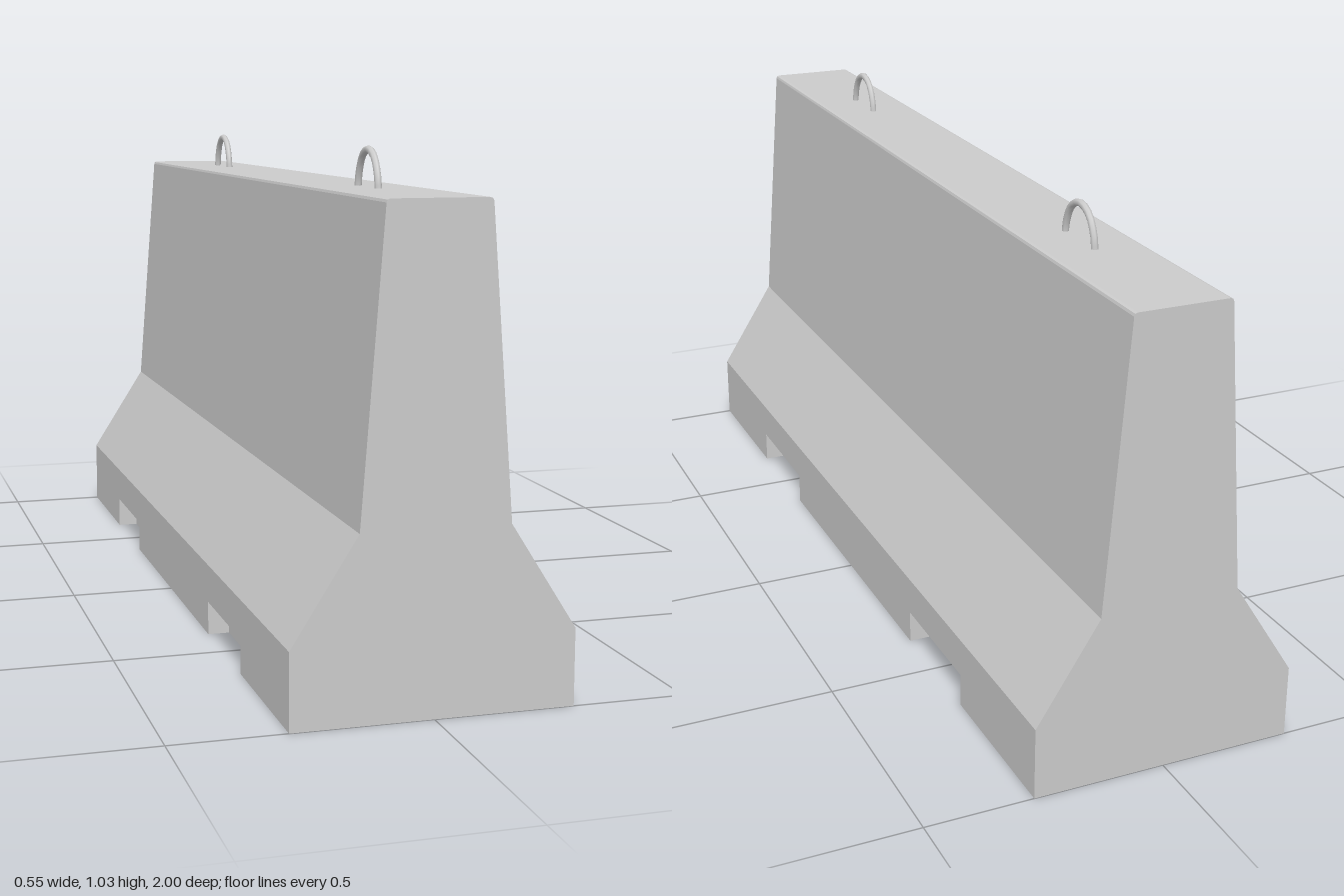
import * as THREE from 'three';
import { mergeGeometries } from 'three/addons/utils/BufferGeometryUtils.js';

const BASE = 0.275;                       // half width at the foot
const POCKET = { depth: 0.045, height: 0.07, z0: 0.375, z1: 0.65 };

const upper = [[BASE, 0.15], [0.145, 0.355], [0.1, 0.939], [0.098, 0.944], [0.093, 0.946]];
const plainFoot = [[BASE, 0]];
const pocketFoot = [[BASE - POCKET.depth, 0], [BASE - POCKET.depth, POCKET.height], [BASE, POCKET.height]];

// Closed counter-clockwise outline, mirrored from its right half
function outline(foot) {
  const half = [...foot, ...upper];
  return [...half, ...half.map(([x, y]) => [-x, y]).reverse()];
}

// Walls of an outline swept from z0 to z1, without end caps
function skin(points, z0, z1) {
  const pos = [];
  points.forEach(([ax, ay], i) => {
    const [bx, by] = points[(i + 1) % points.length];
    pos.push(ax, ay, z0, bx, by, z0, bx, by, z1, ax, ay, z0, bx, by, z1, ax, ay, z1);
  });
  const g = new THREE.BufferGeometry();
  g.setAttribute('position', new THREE.Float32BufferAttribute(pos, 3));
  g.computeVertexNormals();
  return g;
}

// Flat piece turned to face +z or -z
function facing(geometry, sign, x, y, z) {
  if (sign < 0) geometry.rotateY(Math.PI);
  const g = geometry.translate(x, y, z).toNonIndexed();
  g.deleteAttribute('uv');
  return g;
}

function bodyGeometry() {
  const { depth, height, z0, z1 } = POCKET;
  const full = outline(plainFoot);
  const cut = outline(pocketFoot);
  const parts = [
    skin(full, -1, -z1), skin(cut, -z1, -z0), skin(full, -z0, z0),
    skin(cut, z0, z1), skin(full, z1, 1),
  ];
  // End faces
  const shape = new THREE.Shape(full.map(([x, y]) => new THREE.Vector2(x, y)));
  for (const s of [1, -1]) parts.push(facing(new THREE.ShapeGeometry(shape), s, 0, 0, s));
  // End walls of the four lifting pockets
  for (const x of [1, -1]) {
    for (const [z, s] of [[-z1, 1], [-z0, -1], [z0, 1], [z1, -1]]) {
      parts.push(facing(new THREE.PlaneGeometry(depth, height), s, x * (BASE - depth / 2), height / 2, z));
    }
  }
  return mergeGeometries(parts);
}

export function createModel() {
  const model = new THREE.Group();
  model.name = 'concreteBarrier';
  const material = new THREE.MeshStandardMaterial({ color: 0xcccccc });

  const body = new THREE.Mesh(bodyGeometry(), material);
  body.name = 'barrierBody';
  model.add(body);

  // Bent bar lifting loops, their feet sunk into the top
  const arch = new THREE.CatmullRomCurve3(
    [[-0.064, 0.935], [-0.058, 0.97], [-0.036, 1.006], [0, 1.02], [0.036, 1.006], [0.058, 0.97], [0.064, 0.935]]
      .map(([z, y]) => new THREE.Vector3(0, y, z)));
  const loopGeometry = new THREE.TubeGeometry(arch, 14, 0.0075, 8);
  for (const [name, z] of [['frontLiftingLoop', 0.595], ['backLiftingLoop', -0.595]]) {
    const loop = new THREE.Mesh(loopGeometry, material);
    loop.name = name;
    loop.position.z = z;
    model.add(loop);
  }
  return model;
}
